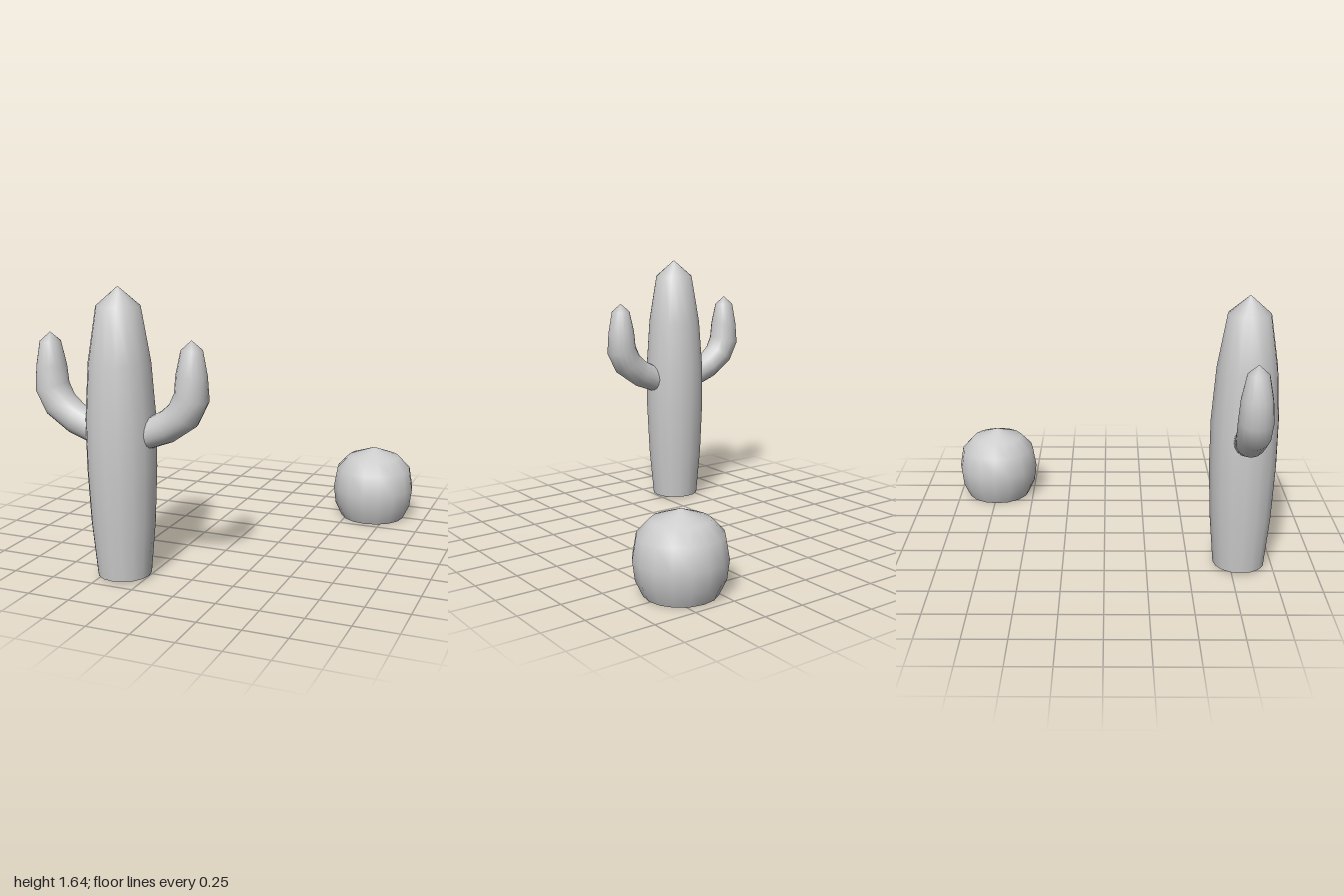
import * as THREE from 'three';

const SIDES = 16;
const material = new THREE.MeshStandardMaterial({ color: 0xcccccc });

function addMesh(parent, name, geometry) {
  const mesh = new THREE.Mesh(geometry, material);
  mesh.name = name;
  parent.add(mesh);
  return mesh;
}

// Turned body from [radius, height] pairs, closed by a flat base
function addBody(parent, name, profile) {
  const points = profile.map(([r, y]) => new THREE.Vector2(r, y));
  addMesh(parent, name, new THREE.LatheGeometry(points, SIDES));
  const base = new THREE.CircleGeometry(profile[0][0], SIDES);
  base.rotateX(Math.PI / 2);
  addMesh(parent, name + 'Base', base).position.y = profile[0][1];
}

// Arm rings: [outer x, outer y, inner x, inner y, half depth], measured from the trunk axis
const ARM_RINGS = [
  [0.06, 0.72, 0.03, 0.88, 0.075],
  [0.195, 0.763, 0.165, 0.93, 0.08],
  [0.316, 0.808, 0.25, 0.975, 0.088],
  [0.458, 0.906, 0.305, 1.025, 0.094],
  [0.526, 1.04, 0.336, 1.089, 0.097],
  [0.517, 1.18, 0.345, 1.187, 0.087],
  [0.493, 1.32, 0.374, 1.32, 0.06],
];
const ARM_TIP = [0.433, 1.373, 0];

// Loft through the rings, ending in a point; side is +1 or -1
function armGeometry(side) {
  const positions = [];
  const index = [];
  const face = (a, b, c) => index.push(...(side > 0 ? [a, b, c] : [a, c, b]));
  for (const [ox, oy, ix, iy, depth] of ARM_RINGS) {
    for (let j = 0; j < SIDES; j++) {
      const a = (j / SIDES) * Math.PI * 2;
      const t = (1 + Math.cos(a)) / 2;
      positions.push(side * (ix + (ox - ix) * t), iy + (oy - iy) * t, depth * Math.sin(a));
    }
  }
  positions.push(side * ARM_TIP[0], ARM_TIP[1], ARM_TIP[2]);
  const last = ARM_RINGS.length - 1;
  const tip = ARM_RINGS.length * SIDES;
  for (let j = 0; j < SIDES; j++) {
    const k = (j + 1) % SIDES;
    for (let i = 0; i < last; i++) {
      const a = i * SIDES + j;
      const b = i * SIDES + k;
      face(a, a + SIDES, b);
      face(b, a + SIDES, b + SIDES);
    }
    face(last * SIDES + j, tip, last * SIDES + k);
  }
  const geometry = new THREE.BufferGeometry();
  geometry.setAttribute('position', new THREE.Float32BufferAttribute(positions, 3));
  geometry.setIndex(index);
  geometry.computeVertexNormals();
  return geometry;
}

export function createModel() {
  const model = new THREE.Group();
  model.name = 'cacti';

  // Tall cactus with two raised arms
  const tall = new THREE.Group();
  tall.name = 'tallCactus';
  tall.position.set(-0.394, 0, 0.804);
  addBody(tall, 'trunk', [
    [0.153, 0.01], [0.181, 0.32], [0.195, 0.64], [0.195, 0.92],
    [0.173, 1.23], [0.122, 1.537], [0, 1.643],
  ]);
  addMesh(tall, 'leftArm', armGeometry(1));
  addMesh(tall, 'rightArm', armGeometry(-1));
  model.add(tall);

  // Low round cactus
  const round = new THREE.Group();
  round.name = 'roundCactus';
  round.position.set(0.656, 0, -0.739);
  addBody(round, 'ball', [
    [0.206, 0], [0.248, 0.09], [0.262, 0.2], [0.24, 0.33], [0.165, 0.41], [0, 0.47],
  ]);
  model.add(round);

  return model;
}
